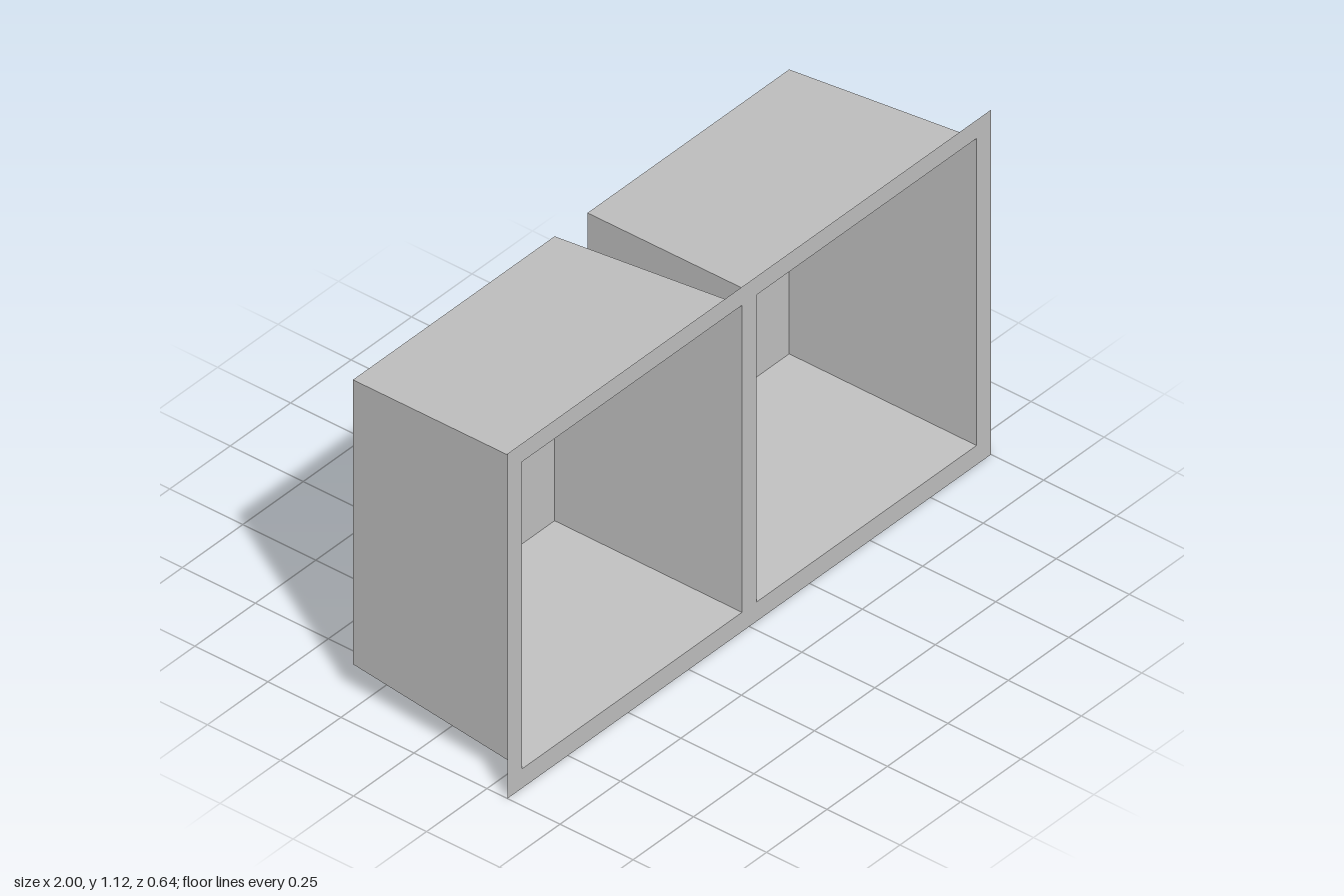
import * as THREE from 'three';

const FRONT = 0.32, BACK = -0.29, SEAT = -0.306;
const DRAIN_Y = 0.77, DRAIN_R = 0.147, SEG = 48;

// corners of a rectangle, counter-clockwise from the upper right
const rect = (x0, x1, y0, y1, z) => [[x1, y1, z], [x0, y1, z], [x0, y0, z], [x1, y0, z]];

function build(points, index) {
  const g = new THREE.BufferGeometry();
  g.setAttribute('position', new THREE.Float32BufferAttribute(points.flat(), 3));
  if (index) g.setIndex(index);
  g.computeVertexNormals();
  return g;
}

// four tapered side walls, facing into the bowl
function wallGeometry(mouth, base) {
  const points = [];
  for (let i = 0; i < 4; i++) {
    const j = (i + 1) % 4;
    points.push(mouth[i], mouth[j], base[j], mouth[i], base[j], base[i]);
  }
  return build(points);
}

// sloped floor: a fan from each corner to its quarter of the drain circle
function floorGeometry(base) {
  const points = [...base], index = [], q = SEG / 4;
  for (let i = 0; i < SEG; i++) {
    const a = (i / SEG) * Math.PI * 2;
    points.push([DRAIN_R * Math.cos(a), DRAIN_Y + DRAIN_R * Math.sin(a), SEAT]);
  }
  const ring = (i) => 4 + (i % SEG);
  for (let c = 0; c < 4; c++) {
    for (let i = c * q; i < (c + 1) * q; i++) index.push(c, ring(i + 1), ring(i));
    index.push(c, (c + 1) % 4, ring((c + 1) * q));
  }
  return build(points, index);
}

export function createModel() {
  const model = new THREE.Group();
  model.name = 'doubleSink';
  const steel = new THREE.MeshStandardMaterial({ color: 0xc0c0c0, side: THREE.DoubleSide });
  steel.name = 'steel';
  const add = (parent, name, geometry) => {
    const mesh = new THREE.Mesh(geometry, steel);
    mesh.name = name;
    parent.add(mesh);
    return mesh;
  };

  // flat sheet rim with two openings
  const toVectors = (pts) => pts.map(([x, y]) => new THREE.Vector2(x, y));
  const sheet = new THREE.Shape(toVectors(rect(-1, 1, 0, 1.125, 0)));
  for (const c of [-0.485, 0.485]) {
    sheet.holes.push(new THREE.Path(toVectors(rect(c - 0.455, c + 0.455, 0.063, 1.065, 0))));
  }
  add(model, 'rim', new THREE.ShapeGeometry(sheet)).position.z = FRONT;

  // two bowls, each with a stepped drain seat
  const mouth = rect(-0.455, 0.455, 0.063, 1.065, FRONT);
  const base = rect(-0.417, 0.417, 0.1, 1.028, BACK);
  const profile = [[DRAIN_R, -SEAT], [0.142, 0.311], [0.134, 0.317], [0.125, 0.32], [0.113, 0.32]]
    .map(([r, d]) => new THREE.Vector2(r, d));
  for (const side of [-1, 1]) {
    const bowl = new THREE.Group();
    bowl.name = side < 0 ? 'rightBowl' : 'leftBowl';
    bowl.position.x = side * 0.485;
    add(bowl, 'walls', wallGeometry(mouth, base));
    add(bowl, 'floor', floorGeometry(base));
    const drain = add(bowl, 'drainSeat', new THREE.LatheGeometry(profile, SEG));
    drain.rotation.x = -Math.PI / 2;
    drain.position.y = DRAIN_Y;
    model.add(bowl);
  }
  return model;
}
